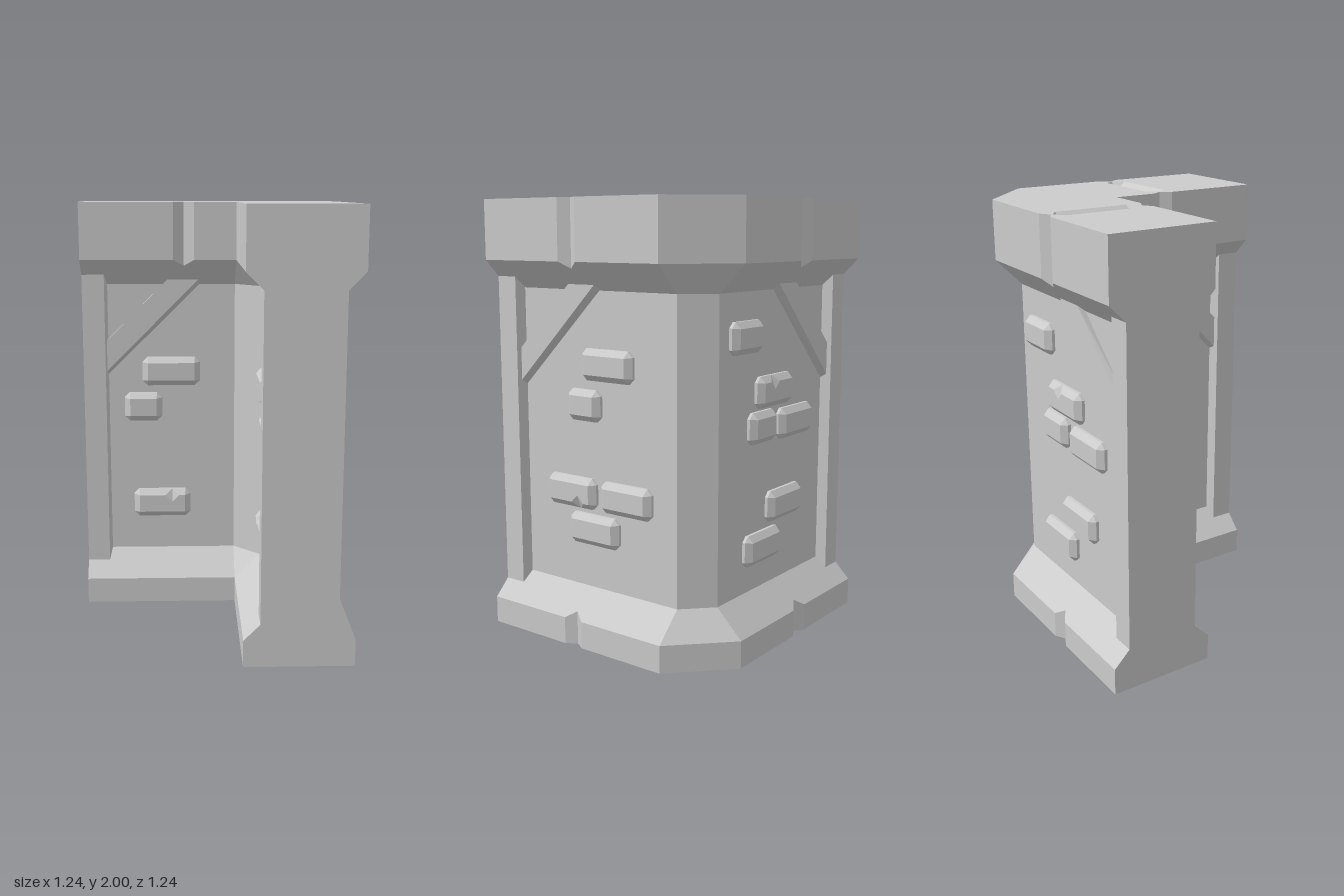
import * as THREE from 'three';
import { ConvexGeometry } from 'three/addons/geometries/ConvexGeometry.js';

const H = 0.62, I = 0.125, INSET = 0.125, NOTCH = 0.03;
const mat = new THREE.MeshStandardMaterial({ color: 0xcccccc, flatShading: true, side: THREE.DoubleSide });

// Mirror across the diagonal that swaps the two arms
const swap = ([x, y, z]) => [-z, y, -x];

function facesToGeometry(quads) {
  const pos = [];
  for (const q of quads)
    for (let i = 1; i + 1 < q.length; i++) pos.push(...q[0], ...q[i], ...q[i + 1]);
  const g = new THREE.BufferGeometry();
  g.setAttribute('position', new THREE.Float32BufferAttribute(pos, 3));
  g.computeVertexNormals();
  return g;
}

function add(parent, geometry, name) {
  const m = new THREE.Mesh(geometry, mat);
  m.name = name;
  parent.add(m);
}

// Plan of one arm: [x, z, inward direction along x, groove kind]
const ARM = [
  [I, -I, 1, ''], [I, 0.075, 1, ''], [I, 0.125, 1, 'inner'], [I, 0.175, 1, ''], [I, H, 1, ''],
  [H, H, -1, ''], [H, 0.175, -1, ''], [H, 0.125, -1, 'outer'], [H, 0.075, -1, ''], [H, -0.37, -1, ''],
];

// Whole L-shaped outline at a height; grooves sink in and follow the slope by "lift"
function ring(y, inset, grooves, lift) {
  const half = ARM.map(([x, z, d, kind]) => {
    const cut = kind && grooves.includes(kind);
    return [x + d * (inset + (cut ? NOTCH : 0)), y + (cut ? lift : 0), z];
  });
  return [...half, ...half.map(swap).reverse()];
}

function shellGeometry() {
  const rings = [
    ring(0, 0, ['outer'], 0),
    ring(0.125, 0, ['outer'], NOTCH),
    ring(0.25, INSET, [], 0),
    ring(1.605, INSET, [], 0),
    ring(1.73, 0, ['inner', 'outer'], -NOTCH),
    ring(2, 0, ['inner', 'outer'], 0),
  ];
  const quads = [];
  for (let r = 0; r + 1 < rings.length; r++) {
    const a = rings[r], b = rings[r + 1];
    a.forEach((p, i) => {
      const j = (i + 1) % a.length;
      quads.push([p, a[j], b[j], b[i]]);
    });
  }
  return facesToGeometry(quads);
}

// Pointed opening of the groove across the top of one arm
const PIT = [[0.162, 0.125], [0.2, 0.175], [0.545, 0.175], [0.583, 0.125], [0.545, 0.075], [0.2, 0.075]]
  .map(([x, z]) => [x, 2, z]);

function topGeometry() {
  const v2 = ([x, , z]) => new THREE.Vector2(x, -z);
  const shape = new THREE.Shape(ring(2, 0, ['inner', 'outer'], 0).map(v2));
  for (const pit of [PIT, PIT.map(swap)]) shape.holes.push(new THREE.Path(pit.map(v2)));
  return new THREE.ShapeGeometry(shape).rotateX(-Math.PI / 2).translate(0, 2, 0);
}

function pitGeometry(map, flip) {
  const [t0, a, b, t1, c, d] = PIT.map(map);
  const r0 = map([0.2, 1.96, 0.125]), r1 = map([0.545, 1.96, 0.125]);
  const faces = [[a, b, r1, r0], [c, d, r0, r1], [t0, a, r0], [d, t0, r0], [b, t1, r1], [t1, c, r1]];
  return facesToGeometry(flip ? faces.map(f => f.reverse()) : faces);
}

// Wall faces: u runs toward the arm's end, w points out of the wall
const outerB = ([u, y, w]) => [H - INSET + w, y, u];
const innerB = ([u, y, w]) => [I + INSET - w, y, u];
const outerA = p => swap(outerB(p));
const innerA = p => swap(innerB(p));

const hull = (points, map) => new ConvexGeometry(points.map(p => new THREE.Vector3(...map(p))));

// End post, its ends resting on the sloping ledges
const POST = [];
for (const [u, v] of [[H, H], [0.5, 0.512]])
  POST.push([u, 0.25, 0], [u, 1.605, 0], [v, 0.2, 0.05], [v, 1.655, 0.05]);

// Diagonal brace with a bevelled lower edge
const BRACE = [
  [0.505, 1.33, 0], [0.22, 1.605, 0], [0.05, 1.605, 0], [0.505, 1.155, 0],
  [0.505, 1.33, 0.03], [0.205, 1.63, 0.03], [0.055, 1.63, 0.03], [0.505, 1.18, 0.03],
];

// Bevelled brick; chip = [offset along u, +1 top edge or -1 bottom edge]
function addBrick(parent, map, [u, y, width, height, chip]) {
  const a = width / 2, b = height / 2, c = 0.025, s = 0.028, top = 0.04, low = 0.014;
  const place = p => map([u + p[0], y + p[1], p[2]]);
  const side = k => {
    const pts = [];
    for (const e of [-1, 1]) {
      for (const w of [0, low]) pts.push([k * a, e * (b - c), w], [k * (a - c), e * b, w]);
      pts.push([k * (a - s), e * (b - s), top]);
    }
    return pts;
  };
  if (!chip) return add(parent, hull([...side(-1), ...side(1)], place), 'brick');
  const [x, e] = chip;
  for (const k of [-1, 1]) {
    const split = [
      [x, b, 0], [x, -b, 0], [x, e * b, low], [x, -e * b, low], [x, -e * (b - s), top],
      [x, e * (b - s - 0.035), top], [x + k * 0.035, e * (b - s), top],
    ];
    add(parent, hull([...side(k), ...split], place), 'chippedBrick');
  }
}

const L = 0.285, S = 0.187, T = 0.143;
const INNER = [[0.19, 1.175, L, T], [0.33, 0.995, S, T], [0.24, 0.495, L, T, [-0.05, 1]]];
const OUTER_B = [
  [0, 1.28, L, T], [0.135, 1.095, S, T], [0.215, 0.69, L, T, [-0.05, -1]],
  [-0.1, 0.69, L, T], [0.085, 0.525, L, T],
];
const OUTER_A = [
  [-0.18, 1.41, 0.235, T], [0.05, 1.155, L, T, [-0.03, 1]], [-0.045, 1.0, 0.21, T],
  [0.235, 0.99, L, T], [0.15, 0.615, L, T], [-0.035, 0.445, L, T],
];

export function createModel() {
  const model = new THREE.Group();
  model.name = 'cornerWall';

  // Base, wall and cap in one open-bottomed shell
  add(model, shellGeometry(), 'wallShell');
  add(model, topGeometry(), 'capTop');
  add(model, pitGeometry(p => p, false), 'capGroove');
  add(model, pitGeometry(swap, true), 'capGroove');

  // Post, brace and bricks on each of the four wall faces
  const walls = [
    ['outerSideWall', outerB, OUTER_B], ['outerBackWall', outerA, OUTER_A],
    ['innerSideWall', innerB, INNER], ['innerFrontWall', innerA, INNER],
  ];
  for (const [name, map, bricks] of walls) {
    const wall = new THREE.Group();
    wall.name = name;
    add(wall, hull(POST, map), 'endPost');
    add(wall, hull(BRACE, map), 'diagonalBrace');
    for (const brick of bricks) addBrick(wall, map, brick);
    model.add(wall);
  }
  return model;
}
